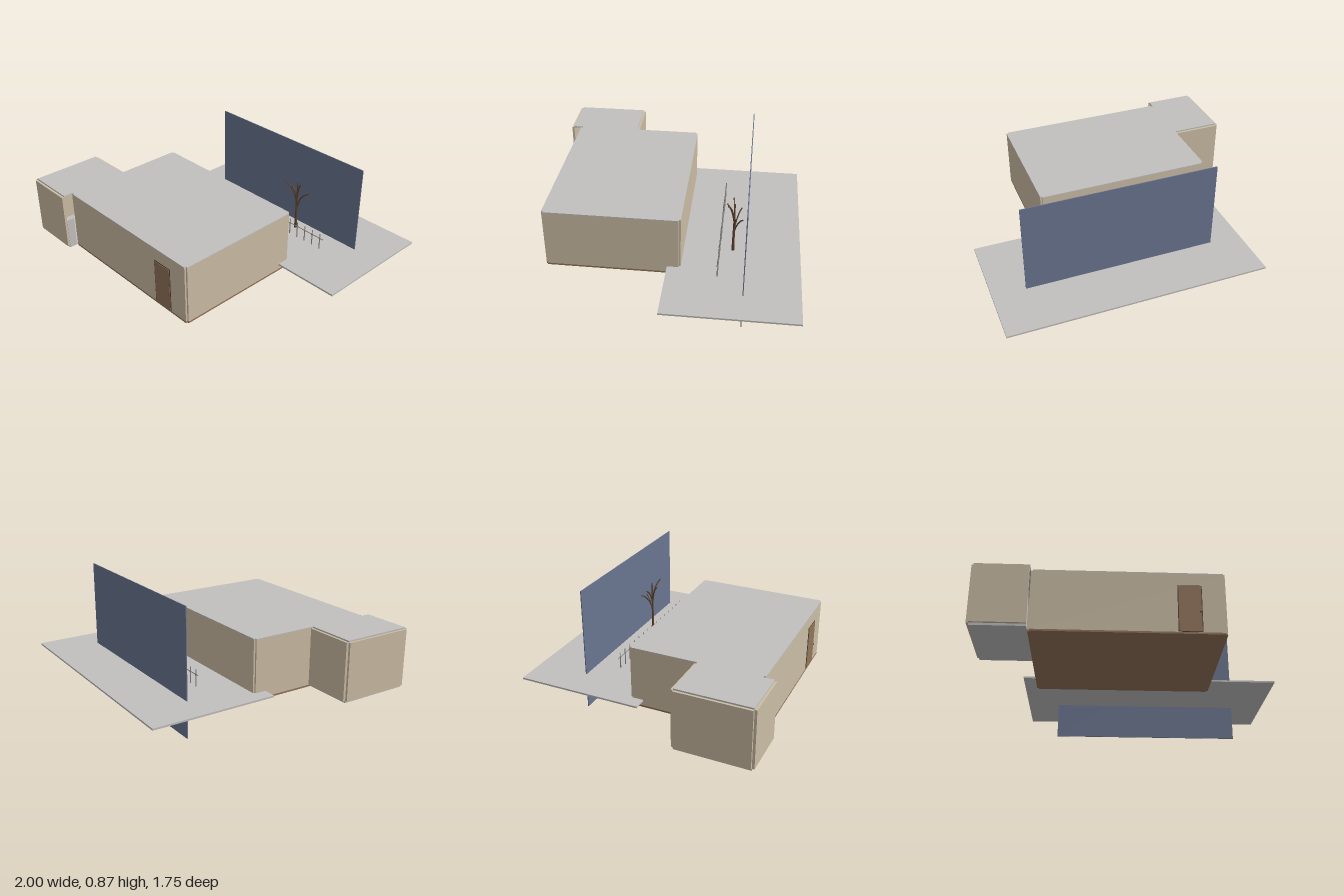
import * as THREE from 'three';

const mat = (name, color) => {
  const m = new THREE.MeshStandardMaterial({ color });
  m.name = name;
  return m;
};

export function createModel() {
  const tan = mat('tan wall', 0xcbbda5);
  const grey = mat('light grey', 0xc1c0be);
  const blue = mat('slate blue', 0x69748f);
  const wood = mat('wood brown', 0x92745a);
  const bark = mat('dark bark', 0x5c4230);
  const metal = mat('fence grey', 0x8a8883);
  const dark = mat('dark trim', 0x4a3c32);

  const model = new THREE.Group();
  model.name = 'house';
  const group = (name) => {
    const g = new THREE.Group();
    g.name = name;
    model.add(g);
    return g;
  };
  const add = (parent, name, geometry, material) => {
    const m = new THREE.Mesh(geometry, material);
    m.name = name;
    parent.add(m);
    return m;
  };
  // Box given by its limits on each axis
  const box = (parent, name, material, [x0, x1], [y0, y1], [z0, z1]) => {
    const m = add(parent, name, new THREE.BoxGeometry(x1 - x0, y1 - y0, z1 - z0), material);
    m.position.set((x0 + x1) / 2, (y0 + y1) / 2, (z0 + z1) / 2);
    return m;
  };
  // Flat slab with a small square notch at every corner
  const notchedSlab = (parent, name, material, [x0, x1], [y0, y1], [z0, z1], n) => {
    const s = new THREE.Shape([
      [x0 + n, z0], [x1 - n, z0], [x1 - n, z0 + n], [x1, z0 + n],
      [x1, z1 - n], [x1 - n, z1 - n], [x1 - n, z1], [x0 + n, z1],
      [x0 + n, z1 - n], [x0, z1 - n], [x0, z0 + n], [x0 + n, z0 + n],
    ].map(([x, z]) => new THREE.Vector2(x, z)));
    const g = new THREE.ExtrudeGeometry(s, { depth: y1 - y0, bevelEnabled: false });
    g.rotateX(Math.PI / 2);
    add(parent, name, g, material).position.y = y1;
  };

  // Main room
  const room = group('mainRoom');
  const t = 0.012, X = [-0.65, 0.54], Z = [-0.1, 0.8], wallY = [0.215, 0.613];
  notchedSlab(room, 'floor', wood, X, [0.203, 0.215], Z, t);
  notchedSlab(room, 'roof', grey, X, [0.613, 0.62], Z, t);
  const innerX = [X[0] + t, X[1] - t], innerZ = [Z[0] + t, Z[1] - t];
  box(room, 'frontWall', tan, innerX, wallY, [innerZ[1], Z[1]]);
  box(room, 'backWall', tan, innerX, wallY, [Z[0], innerZ[0]]);
  box(room, 'leftWall', tan, [innerX[1], X[1]], wallY, innerZ);
  box(room, 'rightWall', tan, [X[0], innerX[0]], wallY, innerZ);

  // Front door
  const door = group('door');
  box(door, 'doorFrame', dark, [0.243, 0.392], [0.216, 0.532], [0.799, 0.802]);
  box(door, 'doorLeaf', wood, [0.248, 0.387], [0.22, 0.527], [0.8, 0.805]);
  add(door, 'doorKnob', new THREE.SphereGeometry(0.005, 10, 8), dark).position.set(0.38, 0.35, 0.808);

  // Side annex, open where it passes the main room
  const annex = group('annex');
  const ax = [-0.985, -0.65], az = [0.367, 0.857], ay = [0.218, 0.61];
  box(annex, 'annexFloor', grey, ax, [0.203, 0.218], az);
  box(annex, 'annexRoof', grey, ax, [0.61, 0.62], az);
  box(annex, 'annexFrontWall', tan, ax, ay, [0.857, 0.873]);
  box(annex, 'annexBackWall', tan, ax, ay, [0.35, 0.367]);
  box(annex, 'annexRightWall', tan, [-1, -0.985], ay, az);
  box(annex, 'annexLowWall', grey, [-0.662, -0.652], [0.218, 0.42], [0.8, 0.855]);

  // Terrace slab and tall backdrop panel
  box(model, 'terrace', grey, [-0.74, 1], [0.244, 0.256], [-0.88, -0.01]);
  box(model, 'backdropPanel', blue, [-0.52, 0.78], [0, 0.87], [-0.519, -0.513]);

  // Fence of slim posts with one thin rail
  const fence = group('fence');
  box(fence, 'fenceRail', metal, [-0.375, 0.635], [0.338, 0.342], [-0.347, -0.343]);
  for (let i = 0; i < 15; i++) {
    const x = -0.347 + i * 0.068;
    add(fence, 'fencePost', new THREE.CylinderGeometry(0.003, 0.004, 0.12, 8), metal).position.set(x, 0.315, -0.344);
    add(fence, 'fenceCollar', new THREE.CylinderGeometry(0.006, 0.006, 0.01, 8), metal).position.set(x, 0.34, -0.344);
  }

  // Bare tree: tapered trunk with curving branches
  const tree = group('tree');
  const trunk = add(tree, 'trunk', new THREE.CylinderGeometry(0.004, 0.01, 0.37, 8), bark);
  trunk.position.set(0.31, 0.437, -0.43);
  [
    // start height, tip x, y, z
    [0.49, 0.37, 0.64, -0.39], [0.47, 0.285, 0.605, -0.38],
    [0.39, 0.33, 0.515, -0.485], [0.41, 0.23, 0.545, -0.475],
    [0.46, 0.2, 0.6, -0.42], [0.43, 0.4, 0.56, -0.445],
  ].forEach(([y, tx, ty, tz]) => {
    const curve = new THREE.QuadraticBezierCurve3(
      new THREE.Vector3(0.31, y, -0.43),
      new THREE.Vector3(0.31 + (tx - 0.31) * 0.3, y + (ty - y) * 0.8, -0.43 + (tz + 0.43) * 0.3),
      new THREE.Vector3(tx, ty, tz));
    add(tree, 'branch', new THREE.TubeGeometry(curve, 10, 0.0045, 6), bark);
    add(tree, 'branchTip', new THREE.SphereGeometry(0.0045, 6, 4), bark).position.set(tx, ty, tz);
  });

  return model;
}
